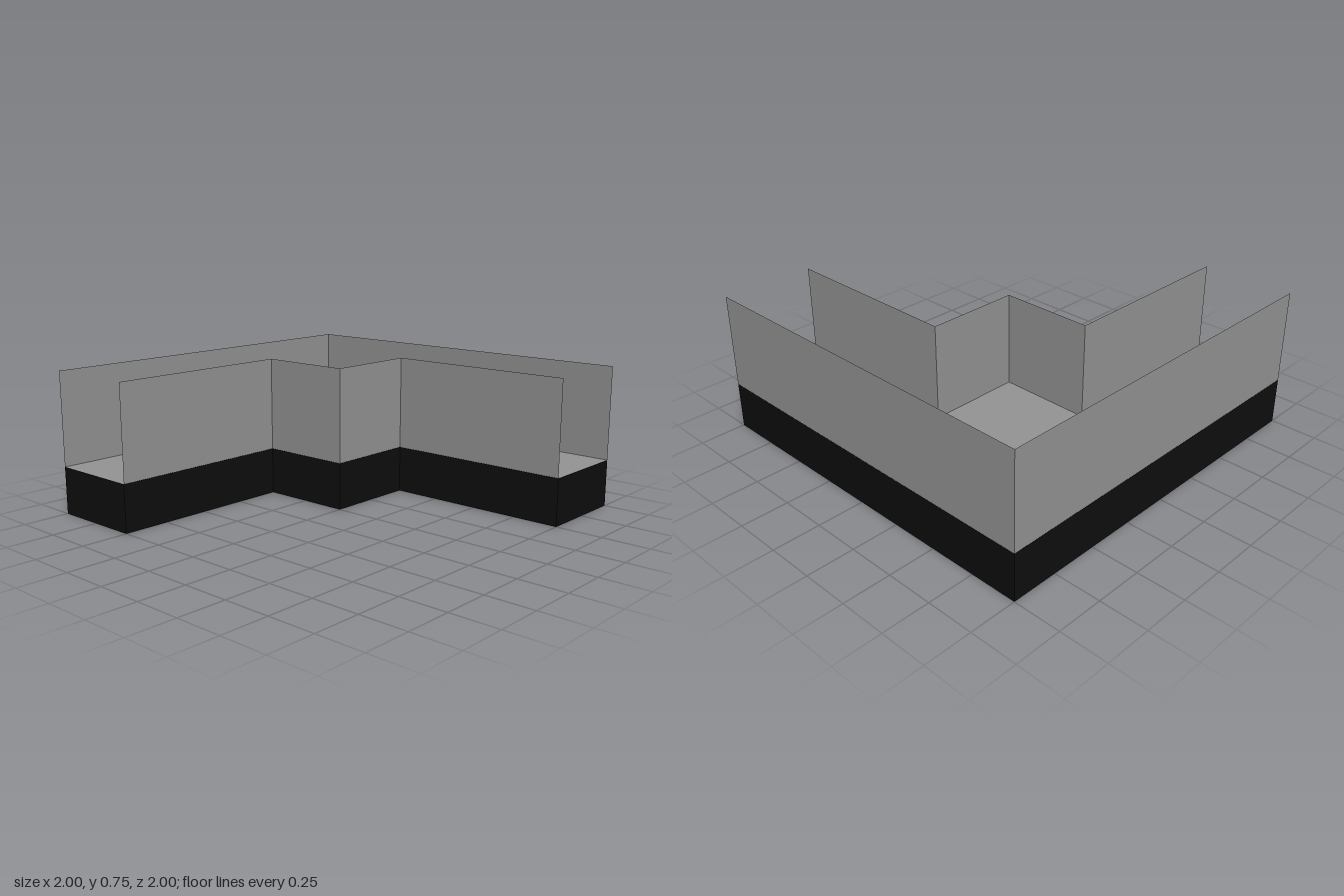
import * as THREE from 'three';

export function createModel() {
  const group = new THREE.Group();
  const black = new THREE.MeshStandardMaterial({ color: 0x0e0e0e });
  black.name = 'black base';
  const grey = new THREE.MeshStandardMaterial({ color: 0x959595, side: THREE.DoubleSide });
  grey.name = 'grey panel';

  const baseTop = 0.25, wallTop = 0.75;

  // Plan lines as [x, z]
  const outerLine = [[-1, 1], [-1, -1], [1, -1]];
  const innerLine = [[1, -0.5], [0, -0.5], [0, 0], [-0.5, 0], [-0.5, 1]];

  const add = (name, geometry, material) => {
    const mesh = new THREE.Mesh(geometry, material);
    mesh.name = name;
    group.add(mesh);
    return mesh;
  };

  // Stepped corner footprint, laid flat
  const footprint = new THREE.Shape(
    [...outerLine, ...innerLine].map(([x, z]) => new THREE.Vector2(x, -z))
  );
  const base = new THREE.ExtrudeGeometry(footprint, { depth: baseTop - 0.001, bevelEnabled: false });
  add('base', base.rotateX(-Math.PI / 2), black);

  // Walkway surface on top of the base
  const floor = new THREE.ShapeGeometry(footprint).rotateX(-Math.PI / 2);
  add('floor', floor, grey).position.y = baseTop;

  // Sheet walls along both sides, open at the two ends
  const addWalls = (name, line) => {
    for (let i = 0; i < line.length - 1; i++) {
      const [x0, z0] = line[i], [x1, z1] = line[i + 1];
      const length = Math.hypot(x1 - x0, z1 - z0);
      const wall = add(name + (i + 1), new THREE.PlaneGeometry(length, wallTop - baseTop), grey);
      wall.position.set((x0 + x1) / 2, (baseTop + wallTop) / 2, (z0 + z1) / 2);
      wall.rotation.y = Math.atan2(z0 - z1, x1 - x0);
    }
  };
  addWalls('outerWall', outerLine);
  addWalls('innerWall', innerLine);

  return group;
}
